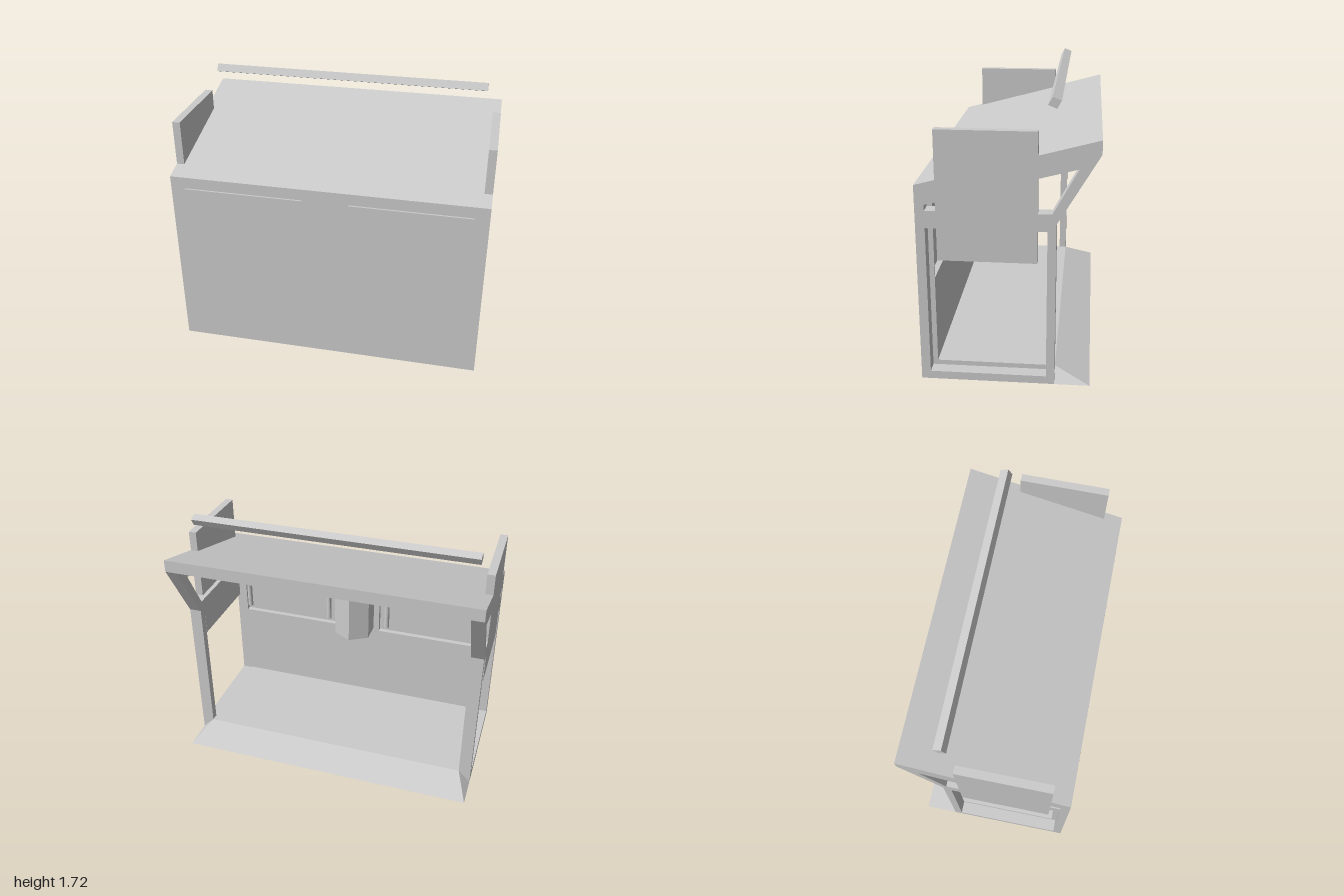
import * as THREE from 'three';
import { ConvexGeometry } from 'three/addons/geometries/ConvexGeometry.js';

const material = new THREE.MeshStandardMaterial({ color: 0xcccccc, flatShading: true });

export function createModel() {
  const model = new THREE.Group();

  const add = (name, geometry) => {
    const mesh = new THREE.Mesh(geometry, material);
    mesh.name = name;
    model.add(mesh);
    return mesh;
  };
  const toShape = (points) => new THREE.Shape(points.map(([a, b]) => new THREE.Vector2(a, b)));
  // Extrudes a side profile given as [z, y] from x0 to x1
  const profile = (name, points, x0, x1, holes = []) => {
    const shape = toShape(points);
    shape.holes = holes.map(toShape);
    const g = new THREE.ExtrudeGeometry(shape, { depth: x1 - x0, bevelEnabled: false });
    g.rotateY(-Math.PI / 2);
    g.translate(x1, 0, 0);
    return add(name, g);
  };
  const box = (name, x0, x1, y0, y1, z0, z1) => {
    const g = new THREE.BoxGeometry(x1 - x0, y1 - y0, z1 - z0);
    g.translate((x0 + x1) / 2, (y0 + y1) / 2, (z0 + z1) / 2);
    return add(name, g);
  };

  // Side frames with a large lower opening and a slanted upper one
  const outline = [[0.52, 0], [0.52, 1.23], [-0.52, 1.51], [-0.52, 1.43], [-0.28, 1.02], [-0.28, 0]];
  const lowerOpening = [[0.465, 0.05], [-0.23, 0.05], [-0.23, 0.975], [0.465, 0.975]];
  const upperOpening = [[0.465, 1.08], [-0.255, 1.08], [-0.4, 1.345], [0.465, 1.115]];
  for (const [side, x0, x1] of [['left', 0.92, 1], ['right', -1, -0.92]]) {
    profile(side + 'SideFrame', outline, x0, x1, [lowerOpening, upperOpening]);
  }

  // Side boards, flush with the outer faces and rising above the roof
  box('leftSideBoard', 0.95, 1, 0.78, 1.55, -0.175, 0.4);
  box('rightSideBoard', -1, -0.95, 0.78, 1.55, -0.175, 0.4);

  // Sloping roof, floor and the tapered lip behind the floor
  profile('roof', [[0.52, 1.15], [0.52, 1.23], [-0.52, 1.51], [-0.52, 1.43]], -0.92, 0.92);
  box('floor', -0.92, 0.92, 0, 0.08, -0.28, 0.52);
  const lip = [];
  for (const s of [-1, 1]) {
    lip.push(
      new THREE.Vector3(s, 0, -0.49),
      new THREE.Vector3(s, 0, -0.28),
      new THREE.Vector3(s * 0.92, 0.08, -0.28)
    );
  }
  add('rearLip', new ConvexGeometry(lip));

  // Front panel: an outer sheet and an inner layer with two recesses
  box('frontPanel', -0.92, 0.92, 0.08, 1.2, 0.47, 0.52);
  const inner = toShape([[-0.92, 0.08], [0.92, 0.08], [0.92, 1.16], [-0.92, 1.16]]);
  for (const [a, b] of [[-0.91, -0.145], [0.145, 0.91]]) {
    inner.holes.push(toShape([[a, 0.63], [a, 1.13], [b, 1.13], [b, 0.63]]));
  }
  const innerGeometry = new THREE.ExtrudeGeometry(inner, { depth: 0.035, bevelEnabled: false });
  innerGeometry.translate(0, 0, 0.435);
  add('frontPanelLining', innerGeometry);

  // Tilted trays that just break through the front, each on two round legs
  const tray = [[0.523, 1.15], [0.498, 1.194], [0.225, 1.044], [0.25, 1.0]];
  for (const [side, s] of [['left', 1], ['right', -1]]) {
    profile(side + 'Tray', tray, s > 0 ? 0.145 : -0.91, s > 0 ? 0.91 : -0.145);
    for (const x of [0.22, 0.85]) {
      const g = new THREE.CylinderGeometry(0.018, 0.018, 0.37, 16);
      g.translate(s * x, 0.905, 0.367);
      add(side + 'TrayLeg', g);
    }
  }

  // Six-sided canister in the middle of the front panel
  const canister = new THREE.CylinderGeometry(0.143, 0.143, 0.44, 6);
  canister.translate(0, 0.92, 0.288);
  add('hexCanister', canister);

  // Tilted bar hovering above the roof
  profile('topBar', [[-0.245, 1.72], [-0.295, 1.7], [-0.27, 1.655], [-0.22, 1.675]], -0.92, 0.905);

  return model;
}
